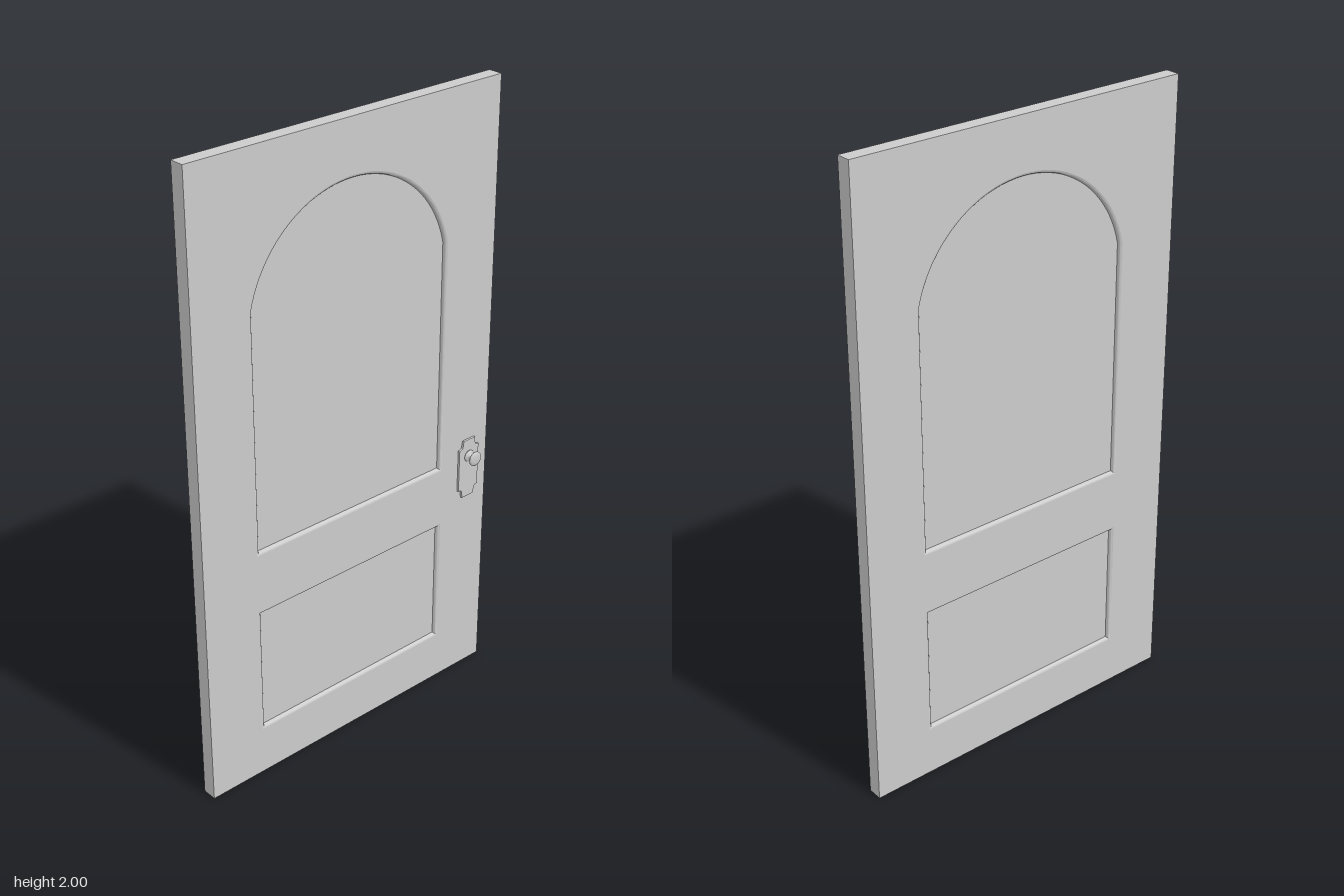
import * as THREE from 'three';
import { toCreasedNormals } from 'three/addons/utils/BufferGeometryUtils.js';

const T = 0.047, HALF_W = 0.56, HEIGHT = 2;   // slab thickness, half width, height
const DEPTH = 0.012;                          // panel recess
const material = new THREE.MeshStandardMaterial({ color: 0xcccccc });

// Counter-clockwise outlines, shrunk evenly by d
function rectOutline(d) {
  const w = 0.367 - d, b = 0.16 + d, t = 0.588 - d;
  return [[-w, b], [w, b], [w, t], [-w, t]].map(p => new THREE.Vector2(...p));
}

function archOutline(d) {
  const w = 0.367 - d, b = 0.78 + d, r = 0.376 - d, cy = 1.46;
  const start = Math.acos(w / r), n = 40;
  const pts = [new THREE.Vector2(-w, b), new THREE.Vector2(w, b)];
  for (let i = 0; i <= n; i++) {
    const a = start + (Math.PI - 2 * start) * i / n;
    pts.push(new THREE.Vector2(r * Math.cos(a), cy + r * Math.sin(a)));
  }
  return pts;
}

// Rounded moulding strip that steps from the face down to the panel
function mouldingGeometry(outline) {
  const steps = 5, pos = [], index = [];
  let n = 0;
  for (let s = 0; s <= steps; s++) {
    const a = s / steps * Math.PI / 2;
    const loop = outline(0.01 * Math.sin(a));
    n = loop.length;
    for (const p of loop) pos.push(p.x, p.y, T / 2 - DEPTH * (1 - Math.cos(a)));
  }
  for (let s = 0; s < steps; s++) {
    for (let i = 0; i < n; i++) {
      const j = (i + 1) % n, a = s * n + i, b = s * n + j;
      index.push(a, b, b + n, a, b + n, a + n);
    }
  }
  const g = new THREE.BufferGeometry();
  g.setAttribute('position', new THREE.Float32BufferAttribute(pos, 3));
  g.setIndex(index);
  return toCreasedNormals(g, 0.6);
}

function add(parent, name, geometry) {
  const mesh = new THREE.Mesh(geometry, material);
  mesh.name = name;
  parent.add(mesh);
  return mesh;
}

function extrudeCentred(shape, depth) {
  return new THREE.ExtrudeGeometry(shape, { depth, bevelEnabled: false }).translate(0, 0, -depth / 2);
}

function createHandle() {
  const handle = new THREE.Group();
  handle.name = 'handle';

  // Backplate with scooped corners
  const plate = new THREE.Shape();
  plate.moveTo(0.039, -0.07);
  plate.lineTo(0.039, 0.07);
  plate.quadraticCurveTo(0.024, 0.07, 0.024, 0.087);
  plate.lineTo(0.022, 0.099);
  plate.lineTo(-0.022, 0.099);
  plate.lineTo(-0.024, 0.087);
  plate.quadraticCurveTo(-0.024, 0.07, -0.039, 0.07);
  plate.lineTo(-0.039, -0.07);
  plate.quadraticCurveTo(-0.024, -0.07, -0.024, -0.087);
  plate.lineTo(-0.022, -0.099);
  plate.lineTo(0.022, -0.099);
  plate.lineTo(0.024, -0.087);
  plate.quadraticCurveTo(0.024, -0.07, 0.039, -0.07);
  add(handle, 'backplate', new THREE.ExtrudeGeometry(plate, {
    depth: 0.004, bevelThickness: 0.003, bevelSize: 0.003, bevelSegments: 2, curveSegments: 8,
  }));

  // Turned rose, stem and knob
  const profile = [
    [0, 0.005], [0.02, 0.006], [0.019, 0.01], [0.011, 0.012], [0.007, 0.015], [0.006, 0.024],
    [0.009, 0.028], [0.02, 0.029], [0.024, 0.032], [0.024, 0.035], [0.02, 0.039], [0.01, 0.04], [0, 0.0405],
  ].map(p => new THREE.Vector2(...p));
  const knob = add(handle, 'knob', new THREE.LatheGeometry(profile, 28));
  knob.rotation.x = Math.PI / 2;
  knob.position.y = 0.043;

  handle.position.set(0.48, 0.752, T / 2);
  return handle;
}

export function createModel() {
  const model = new THREE.Group();
  model.name = 'door';
  const door = new THREE.Group();
  door.name = 'doorLeaf';
  model.add(door);

  // Frame with two openings
  const frame = new THREE.Shape([
    [-HALF_W, 0], [HALF_W, 0], [HALF_W, HEIGHT], [-HALF_W, HEIGHT],
  ].map(p => new THREE.Vector2(...p)));
  const panels = { archedPanel: archOutline, lowerPanel: rectOutline };
  for (const outline of Object.values(panels)) frame.holes.push(new THREE.Path(outline(0).reverse()));
  add(door, 'frame', extrudeCentred(frame, T));

  // Recessed panels with mouldings on both faces
  for (const [name, outline] of Object.entries(panels)) {
    add(door, name, extrudeCentred(new THREE.Shape(outline(0.004)), T - 2 * DEPTH));
    const moulding = mouldingGeometry(outline);
    add(door, name + 'FrontMoulding', moulding);
    add(door, name + 'BackMoulding', moulding).rotation.y = Math.PI;
  }

  door.add(createHandle());

  // Turn the knob face towards +x
  door.rotation.y = Math.PI / 2;
  door.position.x = -0.0205;
  return model;
}
